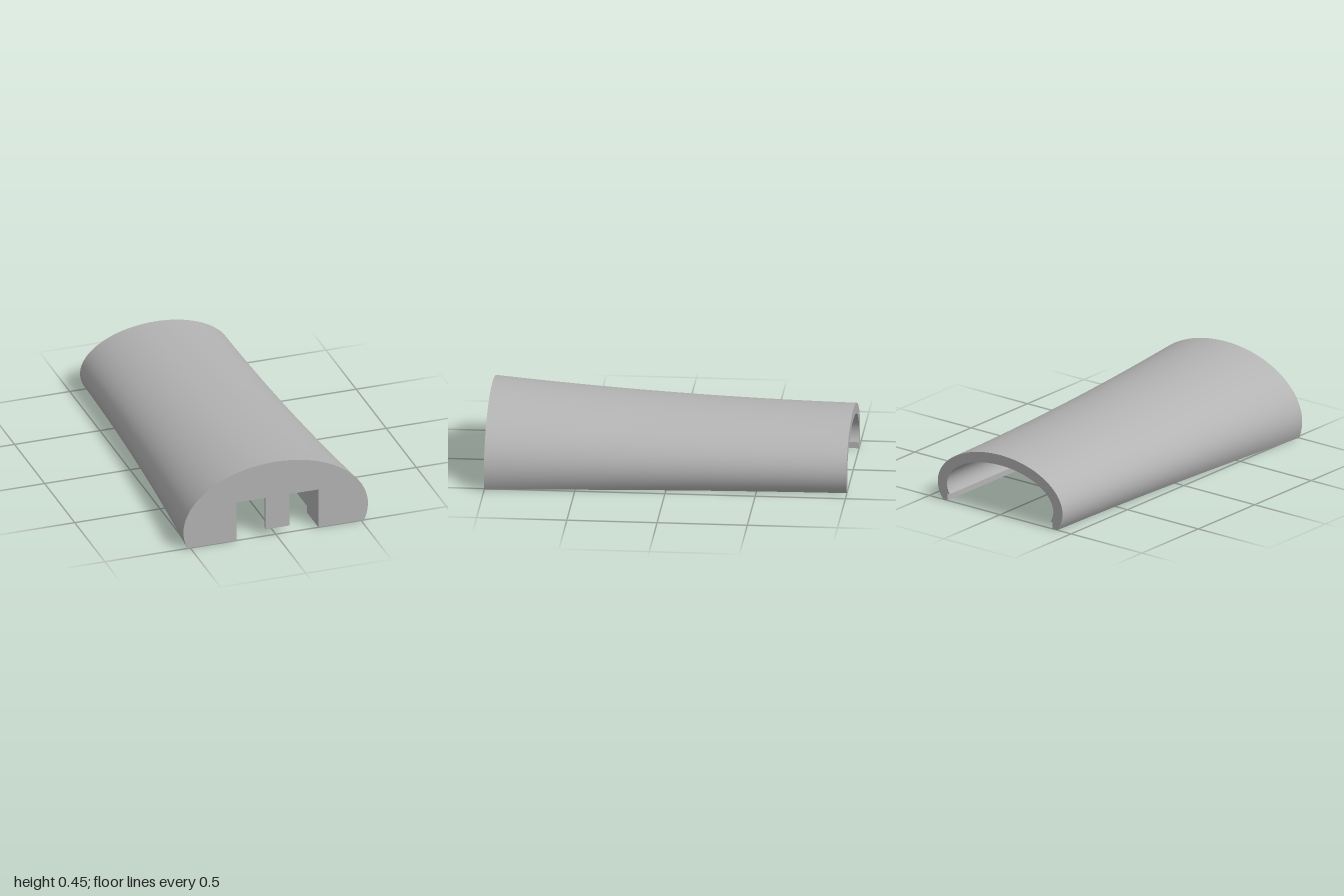
import * as THREE from 'three';
import { toCreasedNormals } from 'three/addons/utils/BufferGeometryUtils.js';

const AXIS_Y = 0.1;      // height of the ellipse centres
const CEILING = 0.235;   // roof of the channel
const LEDGE = 0.04;      // depth of the cover recess
const RECESS = 0.37;     // half width of the cover recess
const Z_RECESS = 0.81, Z_POCKET = 0.62, Z_HOLLOW = -0.25;

// Ellipse arc over the top, from +x to -x, ending at height yEnd on both sides
function arc(a, b, yEnd, n) {
  const start = Math.asin((yEnd - AXIS_Y) / b);
  return Array.from({ length: n + 1 }, (_, i) => {
    const t = start + (Math.PI - 2 * start) * i / n;
    return [a * Math.cos(t), AXIS_Y + b * Math.sin(t)];
  });
}

// Outer section, flaring gently towards the front
function outer(z) {
  const t = (z + 1) / 2;
  const flare = 0.1 * (0.24 * t + 0.76 * t * t);
  return arc(0.44 + flare, 0.25 + flare, 0, 64);
}

// Skin between sections along z; sections run counterclockwise seen from the front
function sweep(section, z0, z1, steps) {
  const pos = [], idx = [];
  let n = 0;
  for (let j = 0; j <= steps; j++) {
    const z = z0 + (z1 - z0) * j / steps;
    const pts = section(z);
    n = pts.length;
    pts.forEach(([x, y]) => pos.push(x, y, z));
  }
  for (let j = 0; j < steps; j++) {
    for (let i = 0; i < n - 1; i++) {
      const a = j * n + i, b = a + 1, c = a + n, d = c + 1;
      idx.push(a, b, c, b, d, c);
    }
  }
  const g = new THREE.BufferGeometry();
  g.setAttribute('position', new THREE.Float32BufferAttribute(pos, 3));
  g.setIndex(idx);
  return toCreasedNormals(g, 0.5);
}

// Flat face at z, looking forwards (dir 1) or backwards (dir -1)
function face(points, z, dir) {
  const shape = new THREE.Shape(points.map(([x, y]) => new THREE.Vector2(x * dir, y)));
  const g = new THREE.ShapeGeometry(shape);
  if (dir < 0) g.rotateY(Math.PI);
  return g.translate(0, 0, z);
}

const rect = (x0, x1, y0, y1) => [[x0, y0], [x1, y0], [x1, y1], [x0, y1]];
const slot = (x0, x1, y) => [[x0, y], [x0, CEILING], [x1, CEILING], [x1, y]];
const recessed = (pts) => [[-RECESS, 0], [-RECESS, LEDGE], ...pts, [RECESS, LEDGE], [RECESS, 0]];

export function createModel() {
  const group = new THREE.Group();
  group.name = 'taperedHousing';
  const grey = new THREE.MeshStandardMaterial({ color: 0xb3b3b3 });
  grey.name = 'grey';
  const add = (name, geometry) => {
    const mesh = new THREE.Mesh(geometry, grey);
    mesh.name = name;
    group.add(mesh);
    return mesh;
  };

  // Underside outline of each zone, from -x to +x
  const hollow = arc(0.375, 0.19, LEDGE, 48).reverse();
  const entry = slot(-0.23, 0.25, 0);
  const neck = recessed(slot(-0.23, 0.25, LEDGE));
  const pocket = recessed(slot(-0.26, 0.235, LEDGE));
  const cavity = recessed(hollow);

  // Underside and inner walls, reaching out to the edge of the shell
  const underside = (inner) => (z) => {
    const o = outer(z);
    return [o[o.length - 1], ...inner, o[0]];
  };

  add('outerShell', sweep(outer, -1, 1, 32));
  add('entryWalls', sweep(underside(entry), Z_RECESS, 1, 4));
  add('neckWalls', sweep(underside(neck), Z_POCKET, Z_RECESS, 4));
  add('pocketWalls', sweep(underside(pocket), Z_HOLLOW, Z_POCKET, 14));
  add('cavityWalls', sweep(underside(cavity), -1, Z_HOLLOW, 12));

  // End faces; the front one includes the flat of the post
  const post = [[-0.06, CEILING], [-0.06, LEDGE], [0.08, LEDGE], [0.08, CEILING]];
  add('frontFace', face([...outer(1), entry[0], entry[1], ...post, entry[2], entry[3]], 1, 1));
  add('rearFace', face([...outer(-1), ...cavity], -1, -1));

  // Step faces between the zones
  add('recessStepRight', face(rect(-RECESS, -0.23, 0, LEDGE), Z_RECESS, -1));
  add('recessStepLeft', face(rect(0.25, RECESS, 0, LEDGE), Z_RECESS, -1));
  add('pocketStepRight', face(rect(-0.26, -0.23, LEDGE, CEILING), Z_POCKET, -1));
  add('pocketStepLeft', face(rect(0.235, 0.25, LEDGE, CEILING), Z_POCKET, 1));
  const pocketOutline = slot(-0.26, 0.235, LEDGE).reverse();
  add('blockRearFace', face([...hollow, ...pocketOutline], Z_HOLLOW, -1));

  // Half-round post hanging in the channel entry
  const height = CEILING - LEDGE;
  const postMesh = add('post',
    new THREE.CylinderGeometry(0.07, 0.07, height, 24, 1, false, Math.PI / 2, Math.PI));
  postMesh.position.set(0.01, LEDGE + height / 2, 1);

  return group;
}
